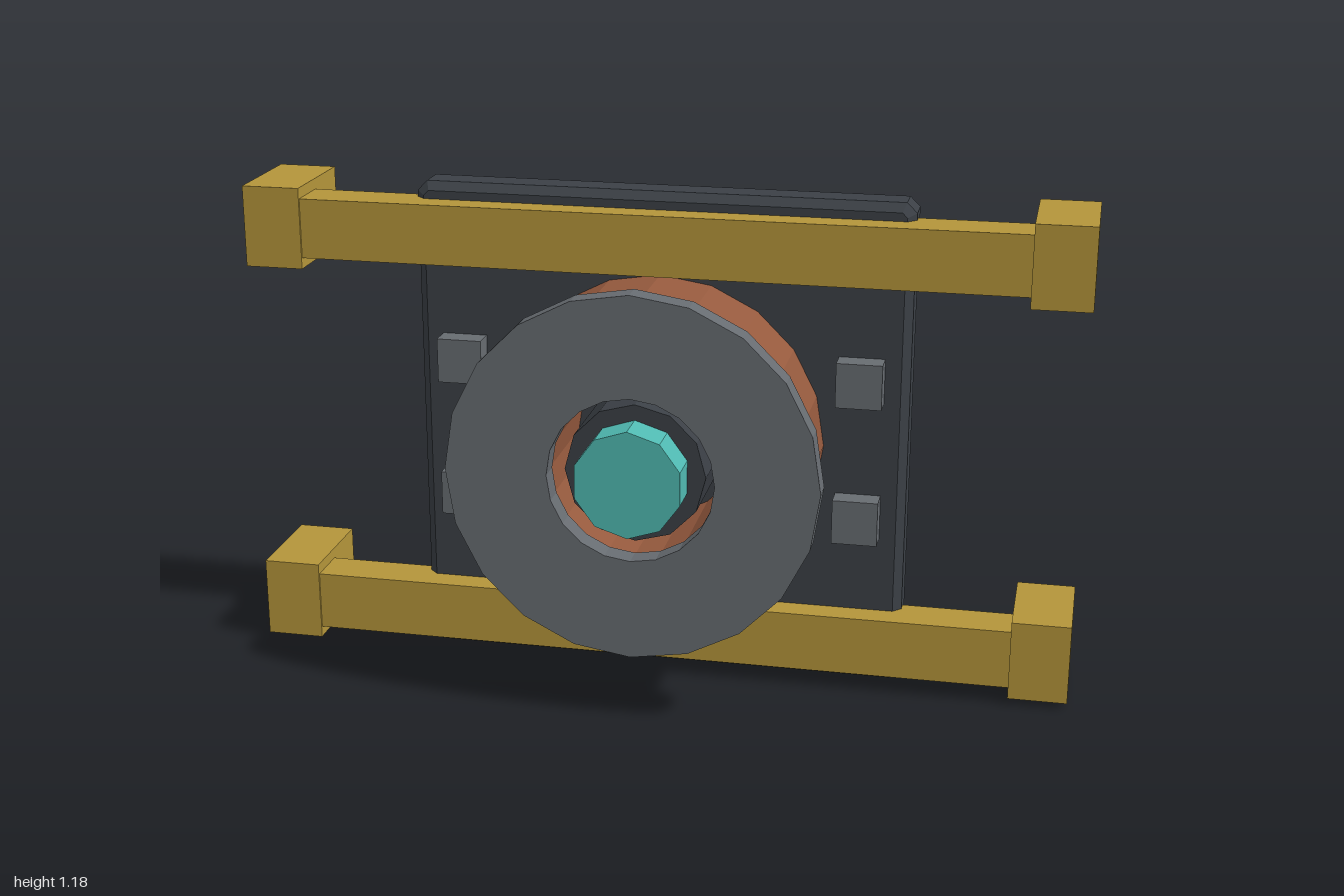
import * as THREE from 'three';

const material = (name, color) => {
  const m = new THREE.MeshStandardMaterial({ color, flatShading: true });
  m.name = name;
  return m;
};

export function createModel() {
  const model = new THREE.Group();
  const dark = material('charcoal', 0x3b4046);
  const grey = material('grey', 0x676c71);
  const copper = material('copper', 0x965a3e);
  const brass = material('brass', 0xb4953a);
  const teal = material('teal', 0x50bab2);
  const cy = 0.595; // height of the coil axis

  const add = (name, geometry, mat) => {
    const mesh = new THREE.Mesh(geometry, mat);
    mesh.name = name;
    model.add(mesh);
    return mesh;
  };

  // Box given by its limits on each axis
  const box = (name, mat, x0, x1, y0, y1, z0, z1) =>
    add(name, new THREE.BoxGeometry(x1 - x0, y1 - y0, z1 - z0), mat)
      .position.set((x0 + x1) / 2, (y0 + y1) / 2, (z0 + z1) / 2);

  // Hollow disc along z
  const ring = (name, mat, outer, inner, z0, z1, segments) => {
    const shape = new THREE.Shape().absarc(0, 0, outer, 0, Math.PI * 2, false);
    shape.holes.push(new THREE.Path().absarc(0, 0, inner, 0, Math.PI * 2, true));
    const geometry = new THREE.ExtrudeGeometry(shape, {
      depth: z1 - z0, bevelEnabled: false, curveSegments: segments / 2,
    });
    add(name, geometry, mat).position.set(0, cy, z0);
  };

  // Solid disc along z
  const disc = (name, mat, radius, z0, z1, sides) => {
    const geometry = new THREE.CylinderGeometry(radius, radius, z1 - z0, sides).rotateX(Math.PI / 2);
    add(name, geometry, mat).position.set(0, cy, (z0 + z1) / 2);
  };

  // Back plate with chamfered edges and corners
  const b = 0.02, h = 0.5925 - b, c = h - 0.012;
  const outline = new THREE.Shape([
    [h, -c], [h, c], [c, h], [-c, h], [-h, c], [-h, -c], [-c, -h], [c, -h],
  ].map(([x, y]) => new THREE.Vector2(x, y)));
  add('backPlate', new THREE.ExtrudeGeometry(outline, {
    depth: 0.07, bevelEnabled: true, bevelSize: b, bevelThickness: b, bevelSegments: 1,
  }), dark).position.set(0, 0.5925, -0.18);

  // Coil, front flange, core and cap
  ring('coil', copper, 0.395, 0.2, -0.1, 0.192, 20);
  ring('flange', grey, 0.435, 0.195, 0.19, 0.245, 20);
  disc('core', dark, 0.165, -0.1, 0.19, 12);
  disc('cap', teal, 0.128, 0.18, 0.275, 10);

  // Two rails with end blocks
  for (const y of [0.113, 1.073]) {
    box('rail', brass, -0.87, 0.87, y - 0.072, y + 0.072, -0.135, -0.025);
    for (const x of [-0.93, 0.93]) {
      box('railEnd', brass, x - 0.07, x + 0.07, y - 0.098, y + 0.098, -0.275, -0.02);
    }
  }

  // Four small lugs on the plate
  for (const x of [-0.48, 0.48]) {
    for (const y of [0.425, 0.763]) {
      box('lug', grey, x - 0.054, x + 0.054, y - 0.054, y + 0.054, -0.1, -0.035);
    }
  }
  return model;
}
